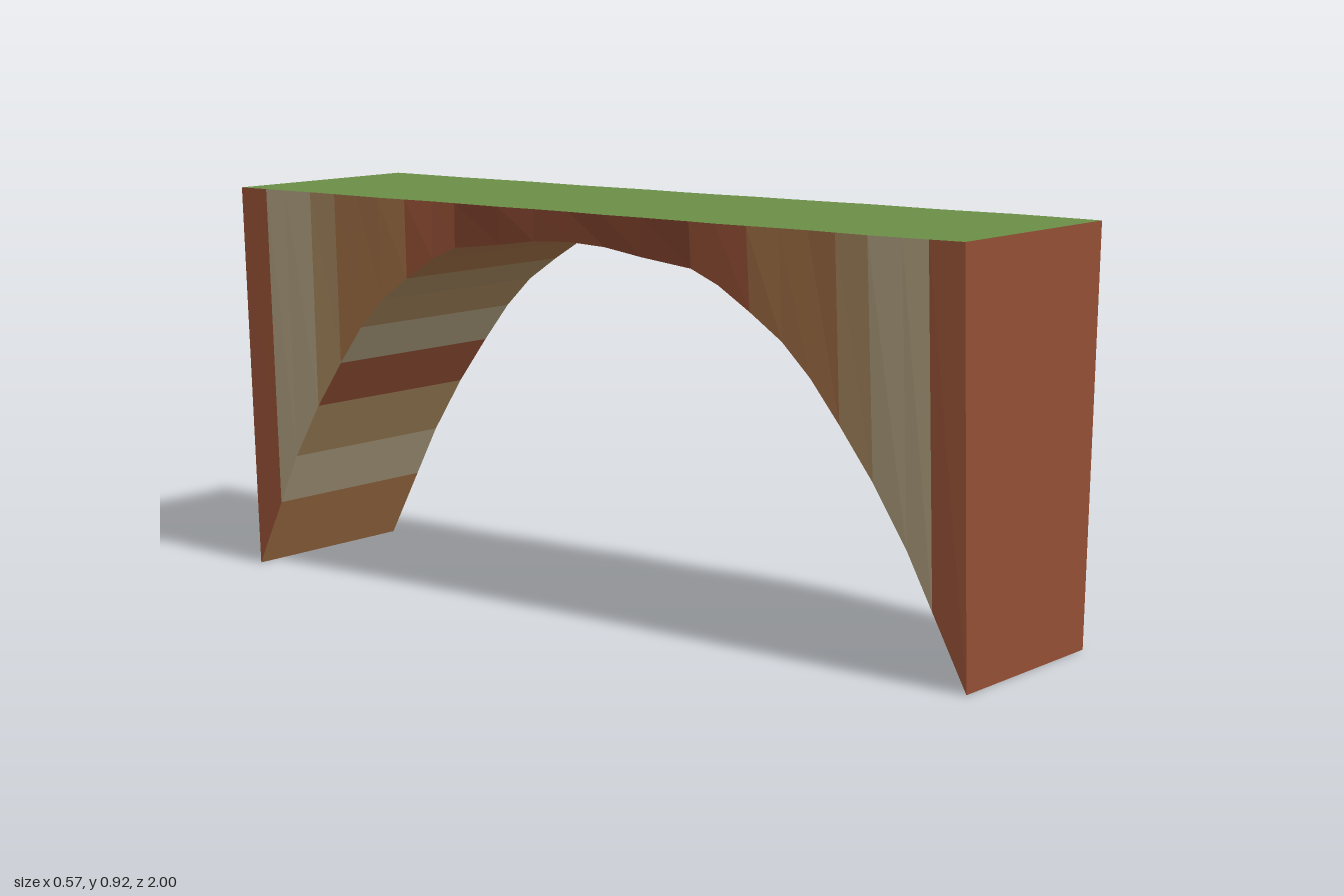
import * as THREE from 'three';

const TOP = 0.915;

// Half of the arch curve, from foot to crown: [distance from middle, underside height]
const ARCH = [
  [1, 0], [0.92, 0.16], [0.86, 0.28], [0.78, 0.41], [0.7, 0.52], [0.63, 0.61], [0.56, 0.68],
  [0.48, 0.735], [0.4, 0.785], [0.33, 0.815], [0.2, 0.83], [0.1, 0.845], [0, 0.85],
];

// Wavy rim of the top: [z, half width]
const RIM = [
  [-1, 0.271], [-0.92, 0.27], [-0.78, 0.266], [-0.56, 0.273], [-0.4, 0.266], [-0.2, 0.272], [-0.05, 0.265],
  [0.13, 0.277], [0.25, 0.271], [0.42, 0.283], [0.6, 0.273], [0.8, 0.284], [0.92, 0.276], [1, 0.271],
];

const COLORS = {
  grass: 0x6b8d47, clay: 0x924e34, darkClay: 0x7b402b,
  sand: 0xa9997a, ochre: 0xa0825a, rust: 0x9a6a42,
};

// Rock layer of each segment, from foot to crown
const SIDE_LAYERS = ['clay', 'sand', 'sand', 'ochre', 'rust', 'rust', 'rust',
  'clay', 'clay', 'darkClay', 'darkClay', 'darkClay'];
const UNDER_LAYERS = ['rust', 'sand', 'ochre', 'clay', 'sand', 'ochre', 'ochre',
  'rust', 'rust', 'clay', 'clay', 'clay'];

function rimWidth(z) {
  let i = 1;
  while (i < RIM.length - 1 && RIM[i][0] < z) i++;
  const [z0, w0] = RIM[i - 1], [z1, w1] = RIM[i];
  return THREE.MathUtils.lerp(w0, w1, (z - z0) / (z1 - z0));
}

// Cross-section corners at one station along the arch
function section(z, y) {
  const t = rimWidth(z), b = 0.235 + 0.04 * y;
  return { tl: [t, TOP, z], tr: [-t, TOP, z], bl: [b, y, z], br: [-b, y, z] };
}

export function createModel() {
  const group = new THREE.Group();
  group.name = 'rockArch';
  const batches = {};

  // Corners run counter-clockwise seen from outside
  function quad(part, color, a, b, c, d) {
    const key = part + '_' + color;
    batches[key] ??= { color, points: [] };
    batches[key].points.push(...a, ...b, ...c, ...a, ...c, ...d);
  }

  // Stations from back foot over the crown to front foot
  const stations = [
    ...ARCH.map(([d, y]) => section(-d, y)),
    ...ARCH.slice(0, -1).reverse().map(([d, y]) => section(d, y)),
  ];
  const n = stations.length - 1;

  for (let i = 0; i < n; i++) {
    const p = stations[i], q = stations[i + 1];
    const layer = Math.min(i, n - 1 - i);
    quad('grassTop', 'grass', p.tr, q.tr, q.tl, p.tl);
    quad('leftWall', SIDE_LAYERS[layer], p.tl, q.tl, q.bl, p.bl);
    quad('rightWall', SIDE_LAYERS[layer], p.tr, p.br, q.br, q.tr);
    quad('archUnderside', UNDER_LAYERS[layer], p.bl, q.bl, q.br, p.br);
  }

  // End walls
  const back = stations[0], front = stations[n];
  quad('backWall', 'clay', back.tr, back.tl, back.bl, back.br);
  quad('frontWall', 'clay', front.tl, front.tr, front.br, front.bl);

  const materials = {};
  for (const [name, { color, points }] of Object.entries(batches)) {
    const geometry = new THREE.BufferGeometry();
    geometry.setAttribute('position', new THREE.Float32BufferAttribute(points, 3));
    geometry.computeVertexNormals();
    materials[color] ??= new THREE.MeshStandardMaterial({ color: COLORS[color], flatShading: true });
    const mesh = new THREE.Mesh(geometry, materials[color]);
    mesh.name = name;
    group.add(mesh);
  }
  return group;
}
